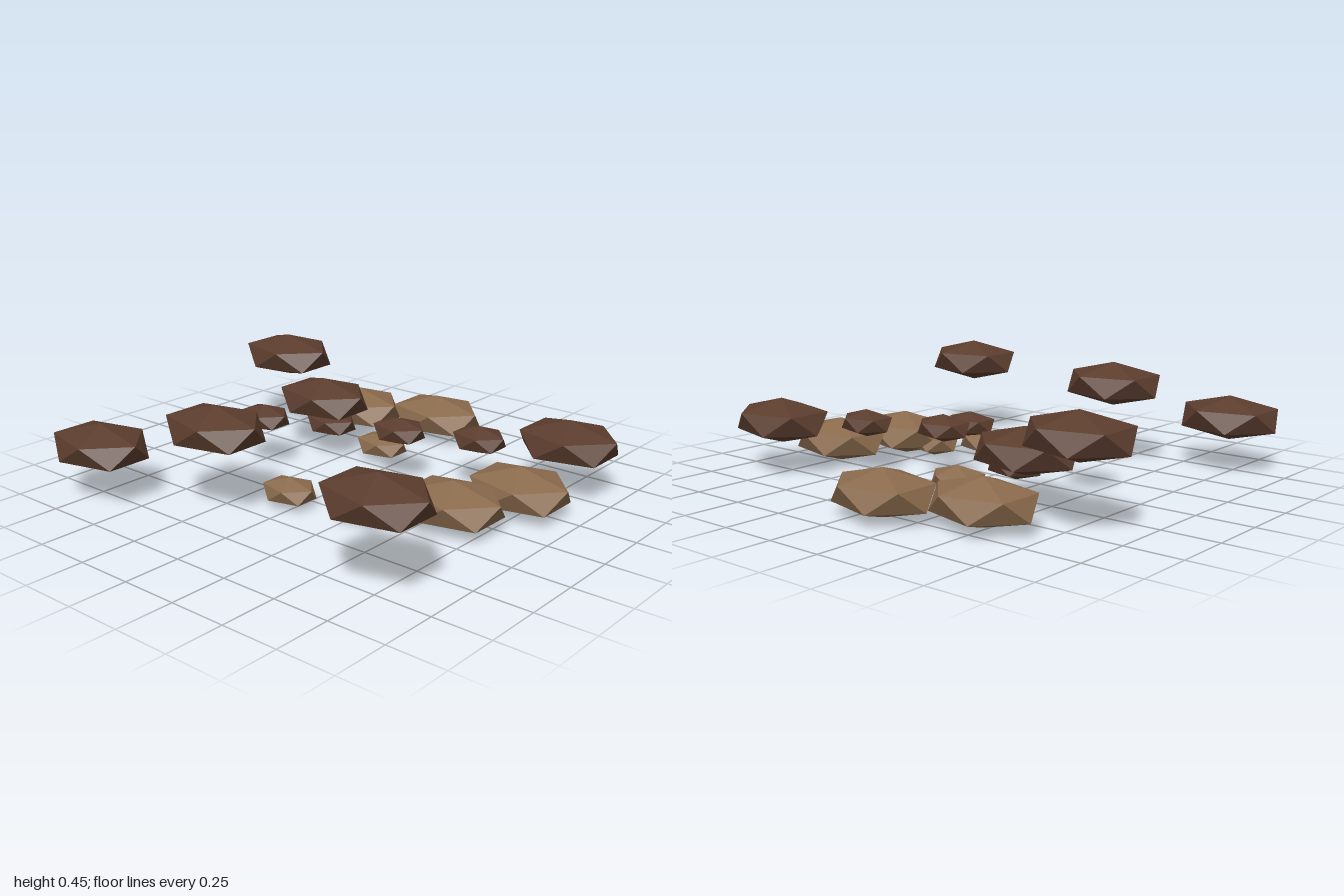
import * as THREE from 'three';

// Faceted stone: an icosahedron stood on one corner, then flattened
function stoneGeometry(rx, ry, rz) {
  const g = new THREE.IcosahedronGeometry(1, 0);
  g.rotateZ(-Math.atan(2 / (1 + Math.sqrt(5))));
  g.scale(rx, ry, rz);
  return g;
}

export function createModel() {
  const model = new THREE.Group();
  model.name = 'stoneCluster';

  const darkBrown = new THREE.MeshStandardMaterial({ color: 0x5c3d2e, flatShading: true });
  darkBrown.name = 'darkBrown';
  const lightBrown = new THREE.MeshStandardMaterial({ color: 0x8b6b4d, flatShading: true });
  lightBrown.name = 'lightBrown';

  const large = stoneGeometry(0.25, 0.0985, 0.197);
  const small = stoneGeometry(0.137, 0.06, 0.108);

  function scatter(name, geometry, material, centres) {
    const group = new THREE.Group();
    group.name = name + 's';
    centres.forEach(([x, y, z], i) => {
      const stone = new THREE.Mesh(geometry, material);
      stone.name = name + (i + 1);
      stone.position.set(x, y, z);
      group.add(stone);
    });
    model.add(group);
  }

  // Large stones resting on the ground
  scatter('largeLightStone', large, lightBrown, [
    [-0.10, 0.1, -0.78], [-0.48, 0.1, -0.643], [0.73, 0.1, -0.222], [0.61, 0.1, 0.08],
  ]);
  // Large stones in the middle and upper layers
  scatter('largeDarkStone', large, darkBrown, [
    [-0.427, 0.229, -0.323], [0.77, 0.229, -0.53], [-0.71, 0.229, 0.775],
    [-0.775, 0.357, -0.455], [0.737, 0.357, 0.72], [-0.23, 0.357, 0.565],
  ]);
  // Small stones resting on the ground
  scatter('smallLightStone', small, lightBrown, [
    [-0.097, 0.066, -0.35], [-0.037, 0.066, 0.34], [0.29, 0.066, 0.275], [0.455, 0.066, 0.107],
  ]);
  // Small stones in the middle and upper layers
  scatter('smallDarkStone', small, darkBrown, [
    [0.343, 0.146, 0.235], [-0.327, 0.146, -0.26],
    [-0.456, 0.225, 0.052], [0.123, 0.225, -0.193], [0.455, 0.225, -0.323],
  ]);

  return model;
}
